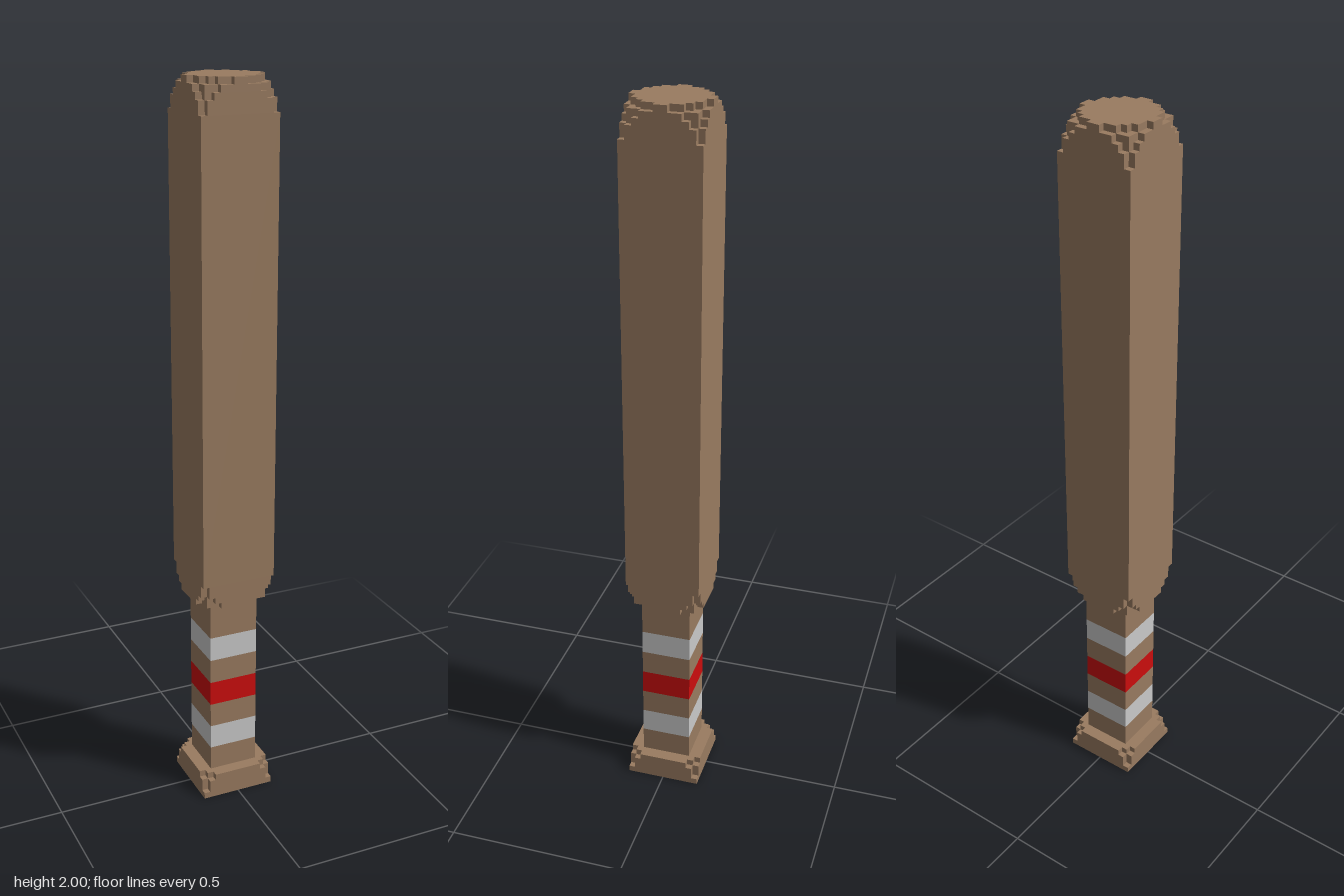
import * as THREE from 'three';

const V = 2 / 114; // edge of one cube cell
const HALF = 6;    // half width of the wide parts, in cells

const wood = new THREE.MeshStandardMaterial({ name: 'wood brown', color: 0x997b60 });
const white = new THREE.MeshStandardMaterial({ name: 'band white', color: 0xcacaca });
const red = new THREE.MeshStandardMaterial({ name: 'band red', color: 0xcc0d0d });

// Cells cut from row j at the corner, for a layer k cells below the rounding's end
function cut(j, k) {
  let n = 0;
  while (n < HALF && (5.5 - n) ** 2 + (5.5 - j) ** 2 + (5.5 - k) ** 2 > 62) n++;
  return n;
}

// Square outline with stepped corners, one quarter turned four times
function steppedShape(k) {
  let quarter = [[HALF - cut(0, k), HALF]];
  for (let j = 1; j < HALF; j++) {
    const before = cut(j - 1, k), now = cut(j, k);
    if (now < before) quarter.push([HALF - before, HALF - j], [HALF - now, HALF - j]);
  }
  const points = [];
  for (let turn = 0; turn < 4; turn++) {
    points.push(...quarter.map(([x, y]) => new THREE.Vector2(x * V, y * V)));
    quarter = quarter.map(([x, y]) => [y, -x]);
  }
  return new THREE.Shape(points);
}

function block(group, name, material, half, y0, y1) {
  const mesh = new THREE.Mesh(new THREE.BoxGeometry(2 * half * V, (y1 - y0) * V, 2 * half * V), material);
  mesh.position.y = (y0 + y1) / 2 * V;
  mesh.name = name;
  group.add(mesh);
}

function layer(group, name, k, y) {
  const geometry = new THREE.ExtrudeGeometry(steppedShape(k), { depth: V, bevelEnabled: false });
  geometry.rotateX(-Math.PI / 2);
  const mesh = new THREE.Mesh(geometry, wood);
  mesh.position.y = y * V;
  mesh.name = name;
  group.add(mesh);
}

export function createModel() {
  const model = new THREE.Group();
  model.name = 'bat';

  // Knob: square foot with stepped upper corners
  const knob = new THREE.Group();
  knob.name = 'knob';
  block(knob, 'knobFoot', wood, HALF, 0, 1);
  for (let k = 2; k < 5; k++) layer(knob, 'knobStep', k, 5 - k);

  // Grip: stacked wood and coloured bands
  const grip = new THREE.Group();
  grip.name = 'grip';
  const bands = [[4, 8, wood], [8, 12, white], [12, 16, wood], [16, 20, red],
    [20, 24, wood], [24, 28, white], [28, 34, wood]];
  for (const [y0, y1, material] of bands) block(grip, 'gripBand', material, 4, y0, y1);

  // Barrel: long square block with stepped corners at both ends
  const barrel = new THREE.Group();
  barrel.name = 'barrel';
  for (let k = 1; k < 5; k++) layer(barrel, 'barrelLowerStep', k, 33 + k);
  block(barrel, 'barrelBody', wood, HALF, 38, 109);
  for (let k = 0; k < 5; k++) layer(barrel, 'barrelUpperStep', k, 113 - k);

  model.add(knob, grip, barrel);
  return model;
}
